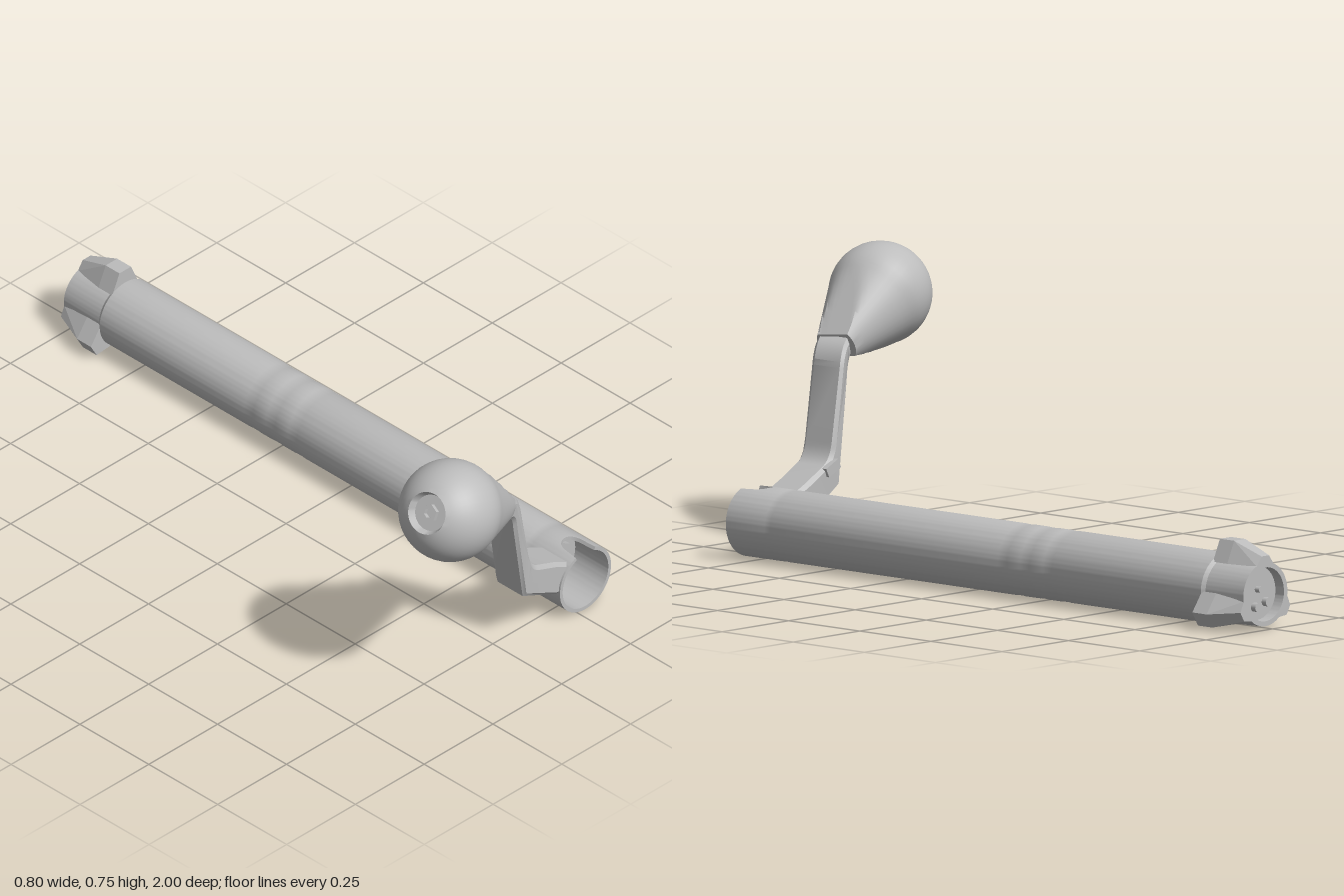
import * as THREE from 'three';
import { toCreasedNormals } from 'three/addons/utils/BufferGeometryUtils.js';
import { ConvexGeometry } from 'three/addons/geometries/ConvexGeometry.js';

const AX = 0.277, AY = 0.093; // axis of the body
const steel = new THREE.MeshStandardMaterial({ color: 0xbcbcbc });
steel.name = 'steel grey';

function add(parent, name, geometry) {
  const mesh = new THREE.Mesh(geometry, steel);
  mesh.name = name;
  parent.add(mesh);
  return mesh;
}

const lathe = (pts, n) => new THREE.LatheGeometry(pts.map(([r, t]) => new THREE.Vector2(r, t)), n);

// Move every vertex by a rule
function warp(geometry, rule) {
  const p = geometry.attributes.position, v = new THREE.Vector3();
  for (let i = 0; i < p.count; i++) {
    rule(v.fromBufferAttribute(p, i));
    p.setXYZ(i, v.x, v.y, v.z);
  }
  return geometry;
}

// Long tube, hollow at the front, with very shallow bands and a rounded notch on top
function bodyGeometry() {
  const R = 0.093;
  const pts = [[0, -0.97], [0.07, -0.97], [0.07, -1], [0.083, -1], [0.086, -0.87], [R, -0.86]];
  for (const [a, b] of [[-0.34, -0.30], [-0.26, -0.22], [-0.18, -0.14], [0.65, 0.68]])
    pts.push([R, a], [R - 0.001, a + 0.005], [R - 0.001, b - 0.005], [R, b]);
  pts.push([R, 0.81], [0.083, 0.81], [0.083, 0.69], [0, 0.69]);
  const g = lathe(pts, 96).rotateX(Math.PI / 2);
  warp(g, v => {
    const a = Math.atan2(v.x, v.y) * R;
    if (v.z > 0.8 && Math.abs(a) < 0.031) v.z = 0.765 - Math.sqrt(0.031 ** 2 - a * a);
  });
  return toCreasedNormals(g, 0.5);
}

// Tapered locking lug pointing up from the axis
function lugGeometry() {
  const pts = [];
  for (const [z, top, w, base] of [[-0.86, 0.132, 0.021, 0.047], [-0.91, 0.132, 0.021, 0.047], [-1, 0.1, 0.014, 0.032]])
    for (const s of [-1, 1])
      pts.push(new THREE.Vector3(s * w, top, z), new THREE.Vector3(s * base, 0.075, z));
  return new ConvexGeometry(pts);
}

// Bent chamfered arm, drifting forward as it rises
function armGeometry() {
  const s = new THREE.Shape();
  s.moveTo(-0.047, 0.533);
  s.lineTo(-0.035, 0.528);
  s.quadraticCurveTo(0.003, 0.512, 0.016, 0.465);
  s.lineTo(0.068, 0.278);
  s.quadraticCurveTo(0.077, 0.238, 0.105, 0.224);
  s.lineTo(0.18, 0.19);
  s.lineTo(0.225, 0.168);
  s.lineTo(0.192, 0.083);
  s.lineTo(0.145, 0.107);
  s.lineTo(0.04, 0.165);
  s.lineTo(-0.031, 0.435);
  s.quadraticCurveTo(-0.036, 0.475, -0.066, 0.49);
  const bevel = 0.01;
  const g = new THREE.ExtrudeGeometry(s, {
    depth: 0.09, bevelEnabled: true, bevelThickness: bevel, bevelSize: bevel,
    bevelOffset: -bevel, bevelSegments: 1, curveSegments: 6
  });
  warp(g, v => {
    const mid = v.x > 0.05
      ? THREE.MathUtils.mapLinear(Math.min(v.x, 0.17), 0.17, 0.05, 0.75, 0.768)
      : THREE.MathUtils.mapLinear(v.x, 0.05, -0.05, 0.768, 0.82);
    v.z += mid - 0.045;
  });
  return toCreasedNormals(g, 0.6);
}

// Pear-shaped knob along +y, with a dished end and flats beside the neck
function knobGeometry() {
  const R = 0.134, pts = [[0, -0.241], [0.057, -0.241]];
  for (let i = 1; i <= 6; i++) pts.push([0.057 + 0.065 * i / 6, -0.241 + 0.186 * i / 6]);
  for (let i = 1; i <= 14; i++) {
    const a = THREE.MathUtils.lerp(-0.424, 1.146, i / 14);
    pts.push([R * Math.cos(a), R * Math.sin(a)]);
  }
  pts.push([0.047, 0.1], [0, 0.1]);
  const g = lathe(pts, 40);
  warp(g, v => {
    if (v.y > -0.055) return;
    const flat = THREE.MathUtils.mapLinear(v.y, -0.241, -0.055, 0.033, 0.122);
    v.x = THREE.MathUtils.clamp(v.x, -flat, flat);
  });
  return toCreasedNormals(g, 0.6);
}

export function createModel() {
  const model = new THREE.Group();
  model.name = 'bolt';

  // Body and its end details share one axis
  const body = new THREE.Group();
  body.name = 'body';
  body.position.set(AX, AY, 0);
  model.add(body);
  add(body, 'tube', bodyGeometry());
  for (let i = 0; i < 3; i++) add(body, 'lockingLug', lugGeometry()).rotation.z = i * Math.PI * 2 / 3;

  // Seven-sided plug with a pin hole inside the front
  const plug = new THREE.Shape();
  for (let i = 0; i < 7; i++) {
    const a = 1.5 + i * Math.PI * 2 / 7;
    plug[i ? 'lineTo' : 'moveTo'](0.061 * Math.cos(a), 0.061 * Math.sin(a));
  }
  plug.closePath();
  plug.holes.push(new THREE.Path().absarc(0, 0, 0.011, 0, Math.PI * 2, true));
  add(body, 'frontPlug', new THREE.ExtrudeGeometry(plug, { depth: 0.015, bevelEnabled: false })).position.z = 0.69;

  // Small pins in the rear recess
  for (const [x, y, r] of [[-0.03, -0.025, 0.012], [0.01, -0.035, 0.012], [0, 0.01, 0.008]]) {
    const pin = add(body, 'rearPin', new THREE.CylinderGeometry(r, r, 0.02, 16).rotateX(Math.PI / 2));
    pin.position.set(x, y, -0.975);
  }

  // Handle arm with a small stop on its back edge
  add(model, 'handleArm', armGeometry());
  const stop = add(model, 'handleStop', new THREE.BoxGeometry(0.05, 0.025, 0.03));
  stop.position.set(0.085, 0.218, 0.712);
  stop.rotation.z = -0.45;

  // Knob, tilted along its own axis
  const axis = new THREE.Vector3(-0.211, 0.108, 0.043).normalize();
  const thin = new THREE.Vector3(axis.y, -axis.x, 0).normalize();
  const side = new THREE.Vector3().crossVectors(thin, axis);
  const knob = new THREE.Group();
  knob.name = 'knob';
  knob.quaternion.setFromRotationMatrix(new THREE.Matrix4().makeBasis(thin, axis, side));
  knob.position.set(-0.268, 0.616, 0.863);
  model.add(knob);
  add(knob, 'knobBody', knobGeometry());
  const nut = new THREE.Shape().absarc(0, 0, 0.024, 0, Math.PI * 2);
  nut.holes.push(new THREE.Path().absarc(0, 0, 0.013, 0, Math.PI * 2, true));
  const screw = add(knob, 'knobScrew', new THREE.ExtrudeGeometry(nut, { depth: 0.014, bevelEnabled: false, curveSegments: 3 }));
  screw.rotation.x = -Math.PI / 2;
  screw.position.y = 0.1;

  return model;
}
